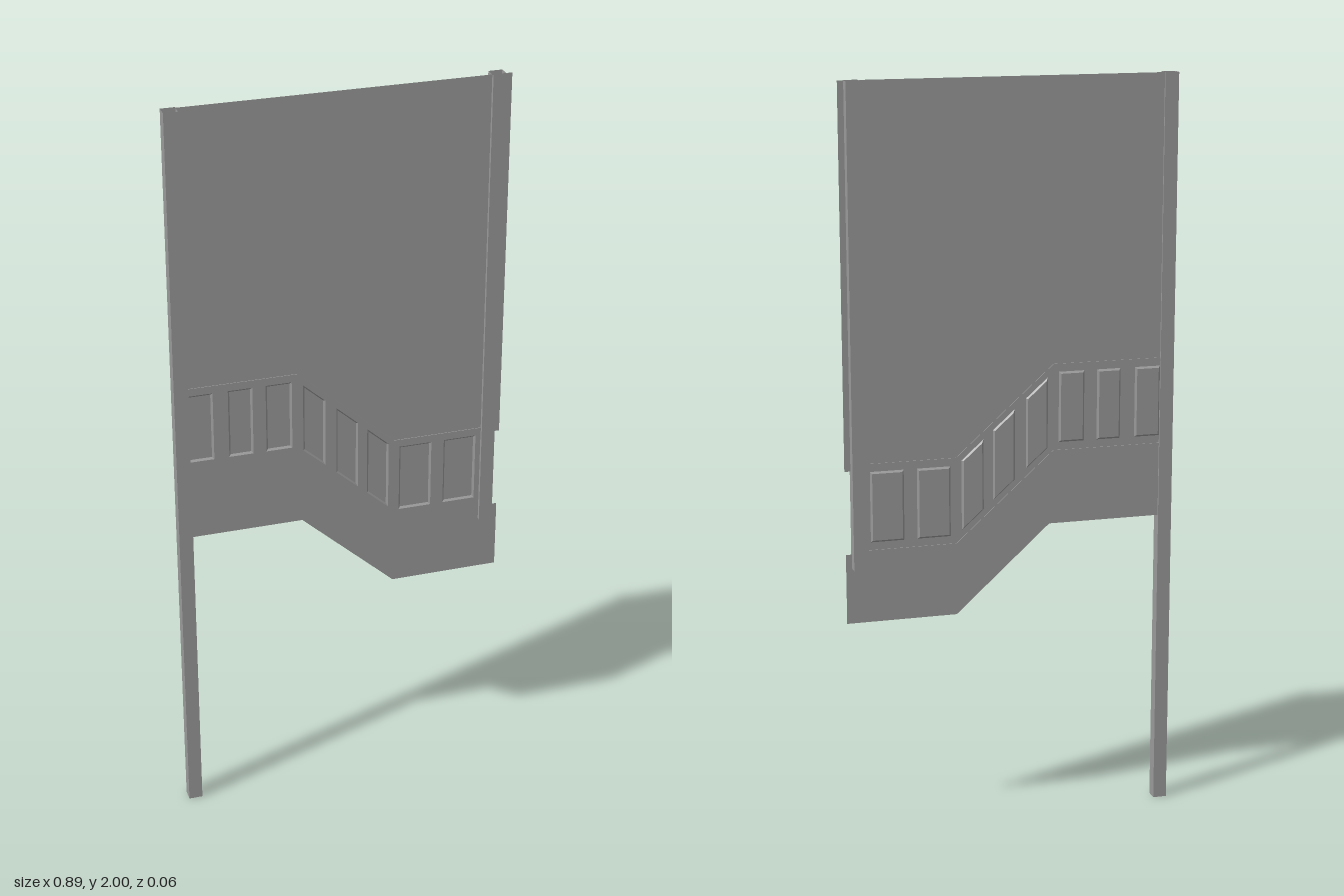
import * as THREE from 'three';

const material = new THREE.MeshStandardMaterial({ color: 0x9b9b9b, flatShading: true, side: THREE.DoubleSide });

// Stepped line of the stair: level, sloping down, level again
const BEND_A = -0.115, BEND_B = 0.15, DROP = 0.235;
const stair = (x) => -DROP * THREE.MathUtils.clamp((x - BEND_A) / (BEND_B - BEND_A), 0, 1);

function add(group, name, geometry) {
  const mesh = new THREE.Mesh(geometry, material);
  mesh.name = name;
  group.add(mesh);
}

const toShape = (points) => new THREE.Shape(points.map(([x, y]) => new THREE.Vector2(x, y)));

// Outline of one panel, inset evenly; sloping panels become parallelograms
function panelOutline(x0, x1, inset) {
  const a = x0 + inset, b = x1 - inset, low = 1.04 + inset, high = 1.23 - inset;
  return [[a, low + stair(a)], [b, low + stair(b)], [b, high + stair(b)], [a, high + stair(a)]];
}

// Shallow tray: four steep bevelled sides and a flat bottom pushed to the back
function trayGeometry(x0, x1, depth) {
  const outer = panelOutline(x0, x1, 0).map(([x, y]) => [x, y, 0]);
  const inner = panelOutline(x0, x1, 0.005).map(([x, y]) => [x, y, -depth]);
  const positions = [];
  const quad = (a, b, c, d) => positions.push(...a, ...b, ...c, ...a, ...c, ...d);
  for (let i = 0; i < 4; i++) {
    const j = (i + 1) % 4;
    quad(outer[i], outer[j], inner[j], inner[i]);
  }
  quad(...inner);
  const geometry = new THREE.BufferGeometry();
  geometry.setAttribute('position', new THREE.Float32BufferAttribute(positions, 3));
  geometry.computeVertexNormals();
  return geometry;
}

// Thin moulding that follows the stair line
function railGeometry(y, z0, z1) {
  const xs = [-0.425, BEND_A, BEND_B, 0.4], h = 0.004;
  const top = xs.map((x) => [x, y + h + stair(x)]).reverse();
  const bottom = xs.map((x) => [x, y - h + stair(x)]);
  const geometry = new THREE.ExtrudeGeometry(toShape([...bottom, ...top]), { depth: z1 - z0, bevelEnabled: false });
  return geometry.translate(0, 0, z0);
}

// Hollow square post, open at both ends
function postGeometry(x0, x1, y0, y1, z0, z1) {
  const geometry = new THREE.CylinderGeometry(Math.SQRT1_2, Math.SQRT1_2, 1, 4, 1, true);
  geometry.rotateY(Math.PI / 4);
  geometry.scale(x1 - x0, y1 - y0, z1 - z0);
  return geometry.translate((x0 + x1) / 2, (y0 + y1) / 2, (z0 + z1) / 2);
}

export function createModel() {
  const group = new THREE.Group();
  group.name = 'stairWall';

  const panels = [
    [-0.41, -0.34], [-0.30, -0.235], [-0.20, -0.13],
    [-0.10, -0.04], [-0.01, 0.05], [0.075, 0.135],
    [0.165, 0.255], [0.29, 0.38],
  ];

  // Wall sheet with a stepped foot, a notch at the right edge and panel openings
  const wall = toShape([
    [-0.445, 0.818], [-0.105, 0.818], [0.15, 0.587], [0.447, 0.587], [0.447, 0.776],
    [0.428, 0.776], [0.428, 1.0], [0.447, 1.0], [0.447, 2], [-0.445, 2],
  ]);
  for (const [x0, x1] of panels) wall.holes.push(toShape(panelOutline(x0, x1, 0)));
  add(group, 'wall', new THREE.ShapeGeometry(wall));

  // Recessed wainscot panels
  const wainscot = new THREE.Group();
  wainscot.name = 'wainscot';
  panels.forEach(([x0, x1], i) => add(wainscot, `panel${i + 1}`, trayGeometry(x0, x1, 0.005)));
  group.add(wainscot);

  // Mouldings: the upper one shows on both faces, the lower one only at the back
  add(group, 'upperRail', railGeometry(1.248, -0.002, 0.002));
  add(group, 'lowerRail', railGeometry(1.015, -0.002, 0));

  // Corner posts
  add(group, 'tallPost', postGeometry(-0.447, -0.41, 0, 2, -0.005, 0.028));
  add(group, 'shortPost', postGeometry(0.394, 0.431, 0.738, 2, -0.028, 0.009));

  return group;
}
